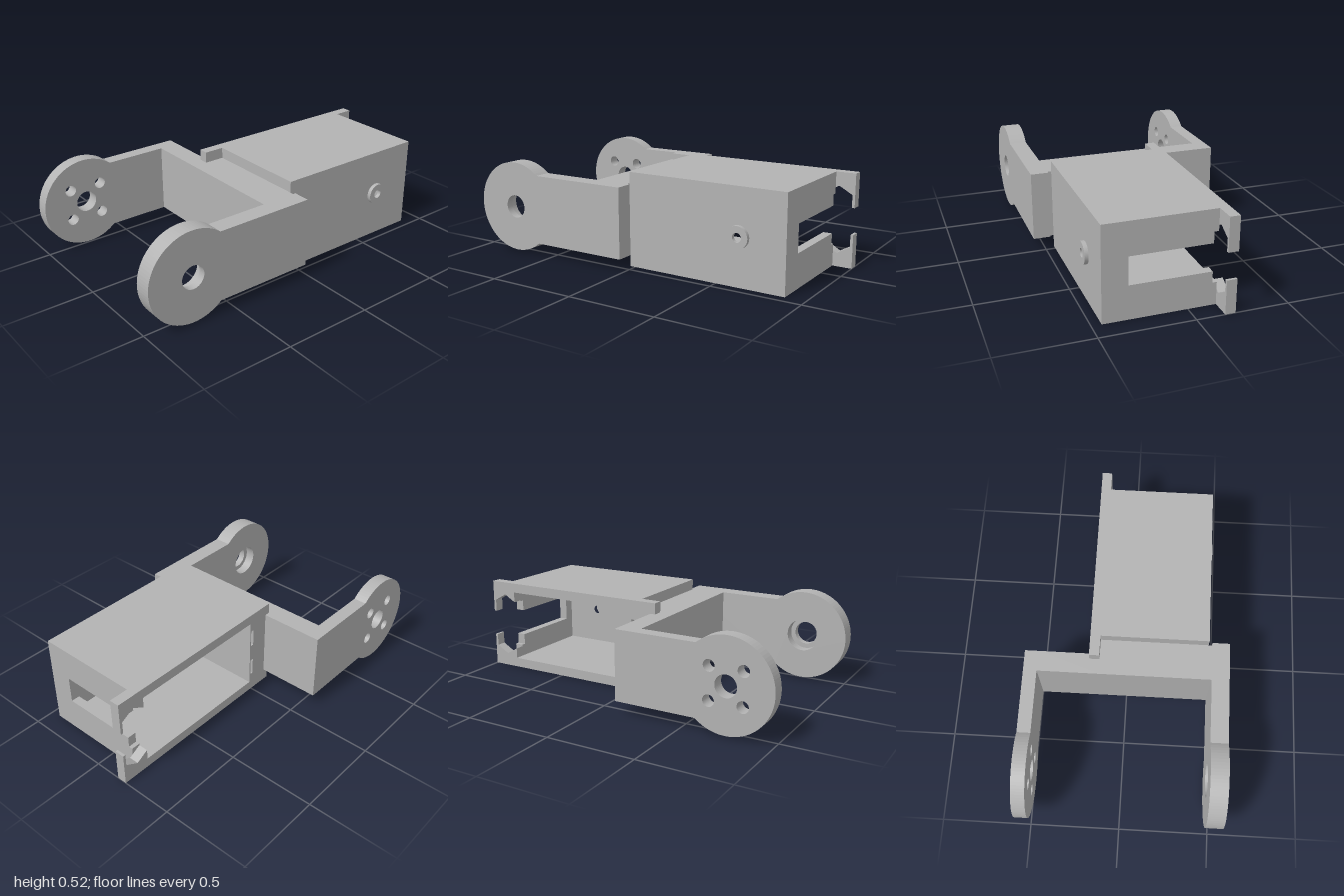
import * as THREE from 'three';

const Y = 0.265; // mid height shared by arms and holes

export function createModel() {
  const model = new THREE.Group();
  model.name = 'jointBracket';
  const grey = new THREE.MeshStandardMaterial({ color: 0xb3b3b3 });
  grey.name = 'grey plastic';

  function add(name, geometry, parent = model) {
    const mesh = new THREE.Mesh(geometry, grey);
    mesh.name = name;
    parent.add(mesh);
    return mesh;
  }
  // box given by its limits on each axis
  function block(name, x0, x1, y0, y1, z0, z1) {
    const mesh = add(name, new THREE.BoxGeometry(x1 - x0, y1 - y0, z1 - z0));
    mesh.position.set((x0 + x1) / 2, (y0 + y1) / 2, (z0 + z1) / 2);
    return mesh;
  }
  // flat shape extruded from z0 to z1
  function plate(name, shape, z0, z1) {
    const mesh = add(name, new THREE.ExtrudeGeometry(shape, { depth: z1 - z0, bevelEnabled: false, curveSegments: 32 }));
    mesh.position.z = z0;
    return mesh;
  }
  const polygon = (points) => new THREE.Shape(points.map(([x, y]) => new THREE.Vector2(x, y)));
  const circle = (x, y, r) => new THREE.Path().absarc(x, y, r, 0, Math.PI * 2, true);
  const rect = (x0, x1, y0, y1) => polygon([[x0, y0], [x0, y1], [x1, y1], [x1, y0]]);

  // arm outline: round end joined to a straight bar
  const cx = -0.745, R = 0.255, half = 0.195;
  function armShape(xEnd, holes) {
    const a = Math.asin(half / R);
    const s = new THREE.Shape();
    s.moveTo(xEnd, Y - half);
    s.lineTo(xEnd, Y + half);
    s.absarc(cx, Y, R, a, Math.PI * 2 - a, false);
    s.closePath();
    s.holes = holes;
    return s;
  }

  // front arm, with a wider bearing recess on its inner side
  plate('frontArm', armShape(-0.015, [circle(cx, Y, 0.065)]), 0.525, 0.566);
  plate('frontArmInner', armShape(-0.015, [circle(cx, Y, 0.092)]), 0.468, 0.525);

  // rear arm, with a centre hole and four screw holes
  const screws = [circle(cx, Y, 0.06)];
  for (const sx of [-1, 1]) for (const sy of [-1, 1]) screws.push(circle(cx + sx * 0.092, Y + sy * 0.09, 0.032));
  plate('rearArm', armShape(-0.115, screws), -0.567, -0.492);

  // web joining the arms to the housing
  block('rearWeb', -0.23, -0.115, Y - half, Y + half, -0.492, -0.15);
  block('frontWeb', -0.23, -0.03, Y - half, Y + half, -0.152, 0.468);

  // housing walls, open at the back
  const H = 0.522, t = 0.055, zBack = -0.152, zIn = 0.37, zFront = 0.447;
  block('housingTop', -0.03, 0.89, H - t, H, zBack, zIn);
  block('housingBottom', -0.03, 0.89, 0, t, zBack, zIn);
  block('housingLeftWall', -0.03, 0.015, t, H - t, zBack, zIn);
  const face = rect(-0.03, 0.89, 0, H);
  face.holes.push(circle(0.63, Y, 0.025));
  plate('housingFront', face, zIn, zFront);

  // end wall with a cable slot widened at its mouth
  const slotLow = 0.187, slotHigh = 0.34;
  const endWall = plate('housingEndWall', polygon([
    [zBack, t], [zIn, t], [zIn, H - t], [zBack, H - t],
    [zBack, 0.402], [-0.128, 0.402], [-0.128, slotHigh], [0.31, slotHigh],
    [0.31, slotLow], [-0.128, slotLow], [-0.128, 0.125], [zBack, 0.125],
  ]), 0, 0.05);
  endWall.rotation.y = -Math.PI / 2;
  endWall.position.x = 0.89;

  // back flange: open frame with hexagonal nut seats by the slot
  const lower = [
    [-0.145, 0], [1, 0], [1, slotLow], [0.985, slotLow], [0.985, 0.117],
    [0.91, 0.075], [0.84, 0.115], [0.84, t], [0.015, t],
  ];
  const upper = lower.map(([x, y]) => [x, H - y]).reverse();
  const flange = polygon([...lower, ...upper]);
  for (const y of [0.16, H - 0.16]) flange.holes.push(rect(-0.012, 0.008, y - 0.05, y + 0.05));
  plate('backFlange', flange, -0.208, zBack);

  // pivot boss on the front face
  const boss = new THREE.Shape().absarc(0.63, Y, 0.06, 0, Math.PI * 2, false);
  boss.holes.push(circle(0.63, Y, 0.025));
  plate('pivotBoss', boss, zFront, 0.468);

  return model;
}
